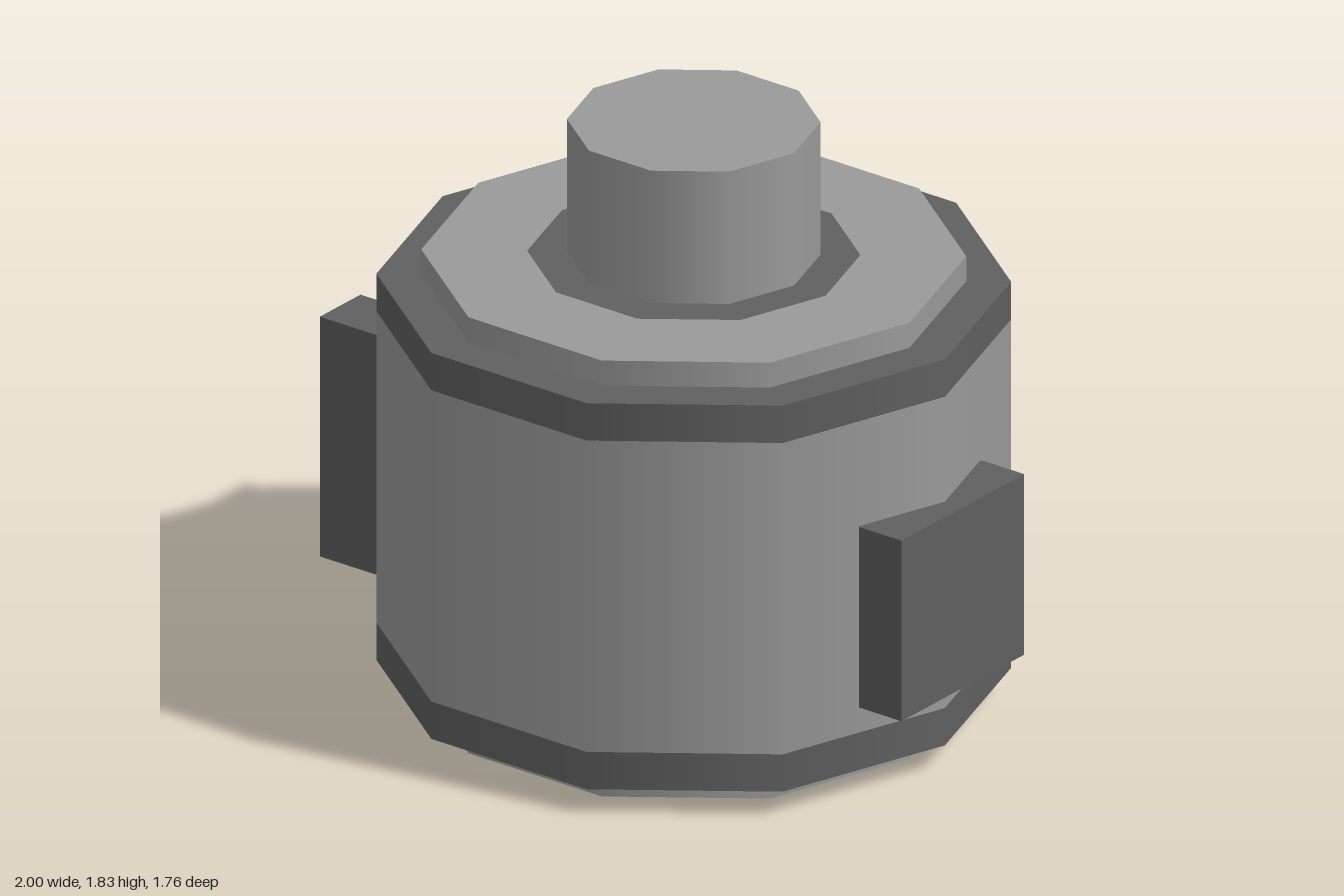
import * as THREE from 'three';

const SIDES = 10;
const CX = 0.008; // axis of the ten-sided drum
const light = new THREE.MeshStandardMaterial({ color: 0x9a9a9a });
const dark = new THREE.MeshStandardMaterial({ color: 0x606060 });

export function createModel() {
  const model = new THREE.Group();
  const add = (name, geometry, material, x, y, z = 0) => {
    const mesh = new THREE.Mesh(geometry, material);
    mesh.name = name;
    mesh.position.set(x, y, z);
    model.add(mesh);
  };

  // Open ten-sided wall from y0 to y1, with corners on the x axis
  const wall = (name, r, y0, y1, material) => add(name,
    new THREE.CylinderGeometry(r, r, y1 - y0, SIDES, 1, true, Math.PI / 2),
    material, CX, (y0 + y1) / 2);

  // Flat ten-sided face, facing up or down (inner radius 0 gives a full disc)
  const face = (name, inner, outer, y, material, up = true) => {
    const geometry = inner > 0
      ? new THREE.RingGeometry(inner, outer, SIDES)
      : new THREE.CircleGeometry(outer, SIDES);
    geometry.rotateX(up ? -Math.PI / 2 : Math.PI / 2);
    add(name, geometry, material, CX, y);
  };

  const BODY = 0.926, CAP = 0.795, COLLAR = 0.486, NECK = 0.37;

  // Base plinth
  face('baseUnderside', 0, CAP, 0, light, false);
  wall('basePlinth', CAP, 0, 0.08, light);

  // Drum with a dark band at each end
  face('lowerBandUnderside', CAP, BODY, 0.08, dark, false);
  wall('lowerBand', BODY, 0.08, 0.2, dark);
  wall('drum', BODY, 0.2, 1.2, light);
  wall('upperBand', BODY, 1.2, 1.32, dark);
  face('upperBandTop', CAP, BODY, 1.32, dark);

  // Raised lid with a flush dark collar around the neck
  wall('lid', CAP, 1.32, 1.4, light);
  face('lidTop', COLLAR, CAP, 1.4, light);
  face('collar', NECK, COLLAR, 1.4, dark);

  // Neck
  wall('neck', NECK, 1.4, 1.825, light);
  face('neckTop', 0, NECK, 1.825, light);

  // Broad block on the +x side
  add('sideBlock', new THREE.BoxGeometry(0.157, 0.58, 0.585), dark, 0.9215, 0.573);

  // Pair of upright lugs on the -x side
  for (const s of [-1, 1]) {
    add(s > 0 ? 'frontLug' : 'backLug',
      new THREE.BoxGeometry(0.235, 0.77, 0.194), dark, -0.8825, 0.7, s * 0.382);
  }
  return model;
}
